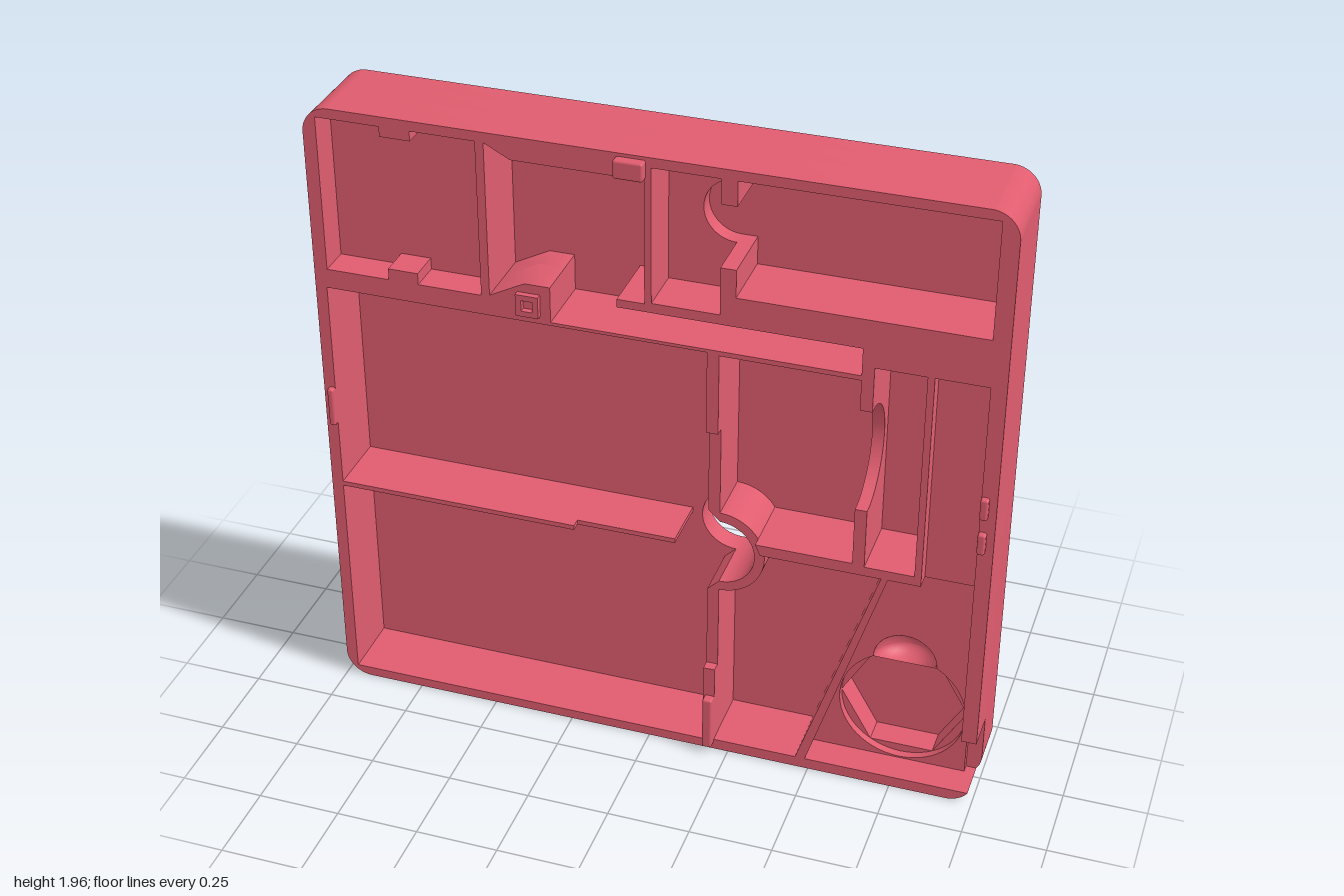
import * as THREE from 'three';
import { toCreasedNormals } from 'three/addons/utils/BufferGeometryUtils.js';
import { RoundedBoxGeometry } from 'three/addons/geometries/RoundedBoxGeometry.js';

const BACK = -0.147, FLOOR = -0.08, MID = 0, FRONT = 0.12, LOW = 0.09;
const H = 1.955, R = 0.08, PI = Math.PI;

const poly = (pts, T = THREE.Shape) => new T(pts.map(([x, y]) => new THREE.Vector2(x, y)));
const rect = (x0, y0, x1, y1) => [[x0, y0], [x1, y0], [x1, y1], [x0, y1]];

// Top three corners of the case, following the right side upward
function finishOutline(s) {
  s.absarc(1 - R, H - R, R, 0, PI / 2);
  s.absarc(-1 + R, H - R, R, PI / 2, PI);
  s.absarc(-1 + R, R, R, PI, PI * 1.5);
  return s;
}

function plainOutline() {
  const s = new THREE.Shape();
  s.moveTo(-1 + R, 0);
  s.absarc(1 - R, R, R, -PI / 2, 0);
  return finishOutline(s);
}

// Case outline that runs in through the side notch and round the right-hand pockets
function notchedOutline() {
  const s = new THREE.Shape();
  s.moveTo(-1 + R, 0);
  s.absarc(1 - R, R, R, -PI / 2, Math.asin((0.035 - R) / R));
  [[0.955, 0.035], [0.49, 0.035], [0.71, 0.745], [0.805, 0.745], [0.805, 1.43],
    [0.955, 1.43], [0.955, 0.225], [1, 0.225]].forEach(([x, y]) => s.lineTo(x, y));
  return finishOutline(s);
}

// Pocket outlines
const cardPocket = [[-0.96, 1.45], [-0.77, 1.45], [-0.77, 1.485], [-0.68, 1.485], [-0.68, 1.45], [-0.49, 1.45],
  [-0.49, 1.925], [-0.68, 1.925], [-0.68, 1.895], [-0.77, 1.895], [-0.77, 1.925], [-0.96, 1.925]];
const channelPocket = [[-0.465, 1.925], [-0.39, 1.885], [-0.01, 1.885], [-0.01, 1.51], [-0.09, 1.51], [-0.09, 1.485],
  [0.605, 1.485], [0.605, 1.4], [-0.285, 1.4], [-0.285, 1.51], [-0.36, 1.51], [-0.465, 1.455]];
const upperPocket = [[0.01, 1.515], [0.205, 1.515], [0.205, 1.66], [0.25, 1.66], [0.25, 1.575], [0.95, 1.575],
  [0.95, 1.925], [0.25, 1.925], [0.25, 1.85], [0.205, 1.85], [0.205, 1.925], [0.01, 1.925]];
const mainPocket = [[-0.965, 1.39], [0.17, 1.39], [0.17, 1.13], [0.205, 1.13], [0.205, 1.385], [0.605, 1.385],
  [0.605, 1.29], [0.64, 1.29], [0.64, 1.43], [0.785, 1.43], [0.785, 0.775], [0.64, 0.775], [0.64, 0.965],
  [0.605, 0.965], [0.605, 0.78], [0.32, 0.78], [0.335, 0.745], [0.69, 0.745], [0.46, 0.035], [0.205, 0.035],
  [0.205, 0.3], [0.17, 0.3], [0.17, 0.03], [-0.965, 0.03]];

// Round seat (or its hexagonal well) with a finger scoop on top
const NX = 0.755, NY = 0.23, NR = 0.19, SR = NR / 2, SY = NY + NR * Math.sin(PI / 3);
function seatHole(hex) {
  const p = new THREE.Path();
  if (hex) {
    for (let i = 2; i <= 7; i++) {
      const a = i * PI / 3;
      p[i === 2 ? 'moveTo' : 'lineTo'](NX + NR * Math.cos(a), NY + NR * Math.sin(a));
    }
  } else p.absarc(NX, NY, NR, PI * 2 / 3, PI * 7 / 3);
  p.absarc(NX, SY, SR, 0, PI);
  return p;
}

export function createModel() {
  const group = new THREE.Group();
  const material = new THREE.MeshStandardMaterial({ color: 0xdf5c6e });

  const add = (name, geo, mat = material) => {
    const m = new THREE.Mesh(geo, mat);
    m.name = name;
    group.add(m);
    return m;
  };
  const slab = (name, shape, z0, z1, holes = []) => {
    shape.holes.push(...holes);
    const g = new THREE.ExtrudeGeometry(shape, { depth: z1 - z0, bevelEnabled: false, curveSegments: 24 });
    g.translate(0, 0, z0);
    return add(name, toCreasedNormals(g, 0.5));
  };
  const tab = (name, x0, y0, x1, y1, z1) => {
    const z0 = 0.08;
    const g = new RoundedBoxGeometry(x1 - x0, y1 - y0, z1 - z0, 2, 0.007);
    add(name, g).position.set((x0 + x1) / 2, (y0 + y1) / 2, (z0 + z1) / 2);
  };
  const path = (pts) => poly(pts, THREE.Path);

  // Case: back plate, lower body and front body
  const spindle = new THREE.Path();
  spindle.absarc(0.205, 0.71, 0.105, 0, PI * 2);
  slab('backPlate', plainOutline(), BACK, FLOOR, [spindle]);
  const deep = () => [channelPocket, upperPocket, mainPocket].map(path);
  slab('lowerBody', plainOutline(), FLOOR, MID, [...deep(), seatHole(true)]);
  slab('frontBody', notchedOutline(), MID, FRONT, [...deep(), path(cardPocket)]);

  // Raised floors of the shallow pockets
  slab('cardPocketFloor', poly(cardPocket), MID, 0.025);
  slab('sidePocketFloor', poly(rect(0.805, 0.745, 0.955, 1.43)), MID, 0.07);
  slab('cornerPocketFloor', poly([[0.49, 0.035], [0.955, 0.035], [0.955, 0.745], [0.71, 0.745]]),
    MID, 0.025, [seatHole(false)]);
  const narrow = poly([[0.01, 1.925], [0.01, 1.515], [0.205, 1.515], [0.205, 1.66]]);
  narrow.absarc(0.205, 1.755, 0.095, PI * 1.5, PI / 2, true);
  narrow.lineTo(0.205, 1.925);
  slab('narrowPocketFloor', narrow, FLOOR, -0.03);

  // Finger scoop: quarter sphere opening into the hexagonal well
  const scoop = new THREE.SphereGeometry(SR, 24, 12, 0, PI * 2, PI / 2, PI / 2);
  scoop.rotateX(PI / 2);
  const pos = scoop.attributes.position;
  for (let i = 0; i < pos.count; i++) pos.setY(i, Math.max(pos.getY(i), 0));
  const inside = material.clone();
  inside.side = THREE.DoubleSide;
  add('fingerScoop', scoop, inside).position.set(NX, SY, 0.025);

  // Upright divider with a half collar round the spindle hole
  const wall = poly([[0.17, 1.13], [0.17, 0.85], [0.205, 0.815]]);
  wall.absarc(0.205, 0.71, 0.105, PI / 2, -PI / 2, true);
  [[0.17, 0.57], [0.17, 0.3], [0.205, 0.3], [0.205, 0.575]].forEach(([x, y]) => wall.lineTo(x, y));
  wall.absarc(0.205, 0.71, 0.135, -PI / 2, PI / 2);
  wall.lineTo(0.205, 1.13);
  slab('collarDivider', wall, FLOOR, LOW);

  // Horizontal divider, lower toward the middle
  slab('longDividerHigh', poly(rect(-0.965, 0.71, -0.23, 0.725)), FLOOR, FRONT);
  slab('longDividerLow', poly(rect(-0.23, 0.71, 0.07, 0.725)), FLOOR, LOW);

  // Divider with a half-round finger cut; drawn in (z, y) and turned to face x
  const cut = poly([[FRONT, 1.2925], [FLOOR, 1.2925], [FLOOR, 0.9625], [FRONT, 0.9625]]);
  cut.absarc(FRONT, 1.1275, 0.165, PI * 1.5, PI / 2, true);
  const cutGeo = new THREE.ExtrudeGeometry(cut, { depth: 0.035, bevelEnabled: false, curveSegments: 24 });
  cutGeo.rotateY(-PI / 2).scale(1, 1, 1);
  cutGeo.translate(0.64, 0, 0);
  add('cutDivider', toCreasedNormals(cutGeo, 0.5));

  // Latches standing proud of the rim
  tab('topLatch', -0.09, 1.89, -0.005, 1.945, 0.147);
  tab('bottomLatch', 0.175, 0.02, 0.205, 0.2, 0.147);
  tab('leftLatch', -0.985, 0.93, -0.965, 1.055, 0.138);
  for (const y of [0.9, 1.015]) tab('rightLatch', 0.955, y, 0.978, y + 0.068, 0.138);
  slab('squareSocket', poly(rect(-0.382, 1.415, -0.315, 1.482)), FRONT - 0.01, 0.138,
    [path(rect(-0.365, 1.432, -0.332, 1.465))]);

  return group;
}
